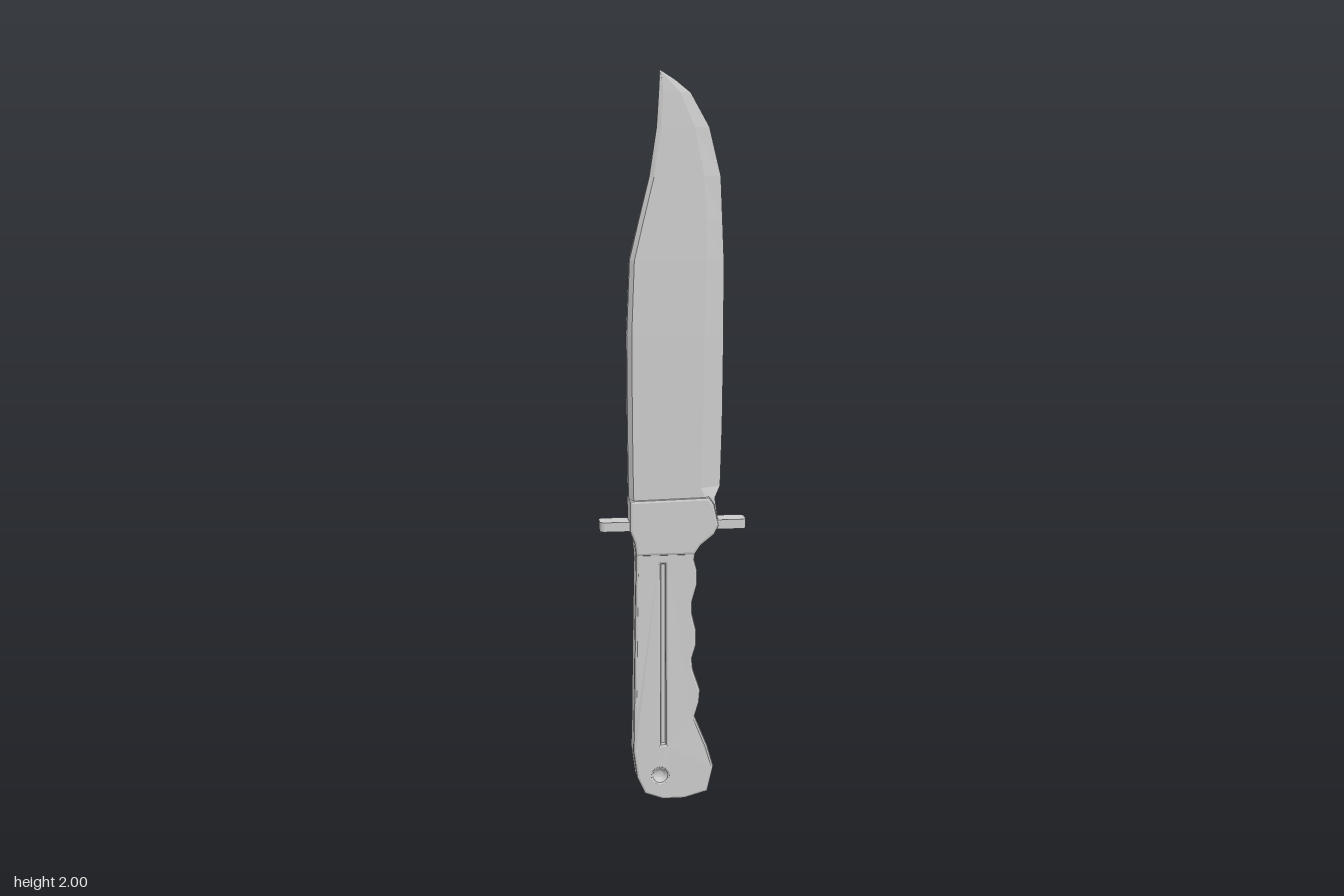
import * as THREE from 'three';

const material = new THREE.MeshStandardMaterial({ color: 0xcccccc, flatShading: true, side: THREE.DoubleSide });

function part(name, geometry) {
  const mesh = new THREE.Mesh(geometry, material);
  mesh.name = name;
  return mesh;
}

const shapeOf = (points) => new THREE.Shape(points.map(([x, y]) => new THREE.Vector2(x, y)));

// Extrudes an outline to +-half in z, with chamfered rims that stay inside the outline
function slab(shape, half, bevel) {
  const geometry = new THREE.ExtrudeGeometry(shape, {
    depth: 2 * (half - bevel), bevelEnabled: bevel > 0, bevelThickness: bevel,
    bevelSize: bevel, bevelOffset: -bevel, bevelSegments: 2, curveSegments: 8,
  });
  return geometry.translate(0, 0, -(half - bevel));
}

// Blade: eight-sided sections, each [y, spine x, bevel x, edge x, half thickness, half edge thickness]
function bladeGeometry() {
  const sections = [
    [0.78, -0.12, 0.09, 0.125, 0.030, 0.022],
    [0.85, -0.12, 0.09, 0.115, 0.030, 0.018],
    [0.88, -0.121, 0.075, 0.132, 0.030, 0],
    [1.05, -0.123, 0.08, 0.137, 0.030, 0],
    [1.30, -0.124, 0.085, 0.14, 0.029, 0],
    [1.50, -0.116, 0.09, 0.14, 0.025, 0],
    [1.60, -0.092, 0.09, 0.136, 0.021, 0],
    [1.72, -0.062, 0.085, 0.131, 0.016, 0],
    [1.85, -0.042, 0.06, 0.1, 0.011, 0],
    [1.94, -0.036, 0.022, 0.05, 0.007, 0],
    [1.975, -0.034, -0.01, 0.007, 0.004, 0],
    [2.00, -0.034, -0.033, -0.032, 0.001, 0],
  ];
  const positions = [], indices = [], n = 8;
  for (const [y, xs, xb, xe, t, e] of sections) {
    const shoulder = xs + Math.min(0.012, (xb - xs) * 0.3);
    const ring = [[xe, e], [xe, -e], [xb, -t], [shoulder, -t], [xs, -t / 2], [xs, t / 2], [shoulder, t], [xb, t]];
    for (const [x, z] of ring) positions.push(x, y, z);
  }
  for (let i = 0; i < sections.length - 1; i++) {
    for (let j = 0; j < n; j++) {
      const a = i * n + j, b = i * n + (j + 1) % n;
      indices.push(a, b, a + n, b, b + n, a + n);
    }
  }
  const last = (sections.length - 1) * n;
  for (let j = 1; j < n - 1; j++) {
    indices.push(0, j + 1, j, last, last + j, last + j + 1);
  }
  const geometry = new THREE.BufferGeometry();
  geometry.setAttribute('position', new THREE.Float32BufferAttribute(positions, 3));
  geometry.setIndex(indices);
  geometry.computeVertexNormals();
  return geometry;
}

// Handle: finger-grooved outline with a long slot and a round recess, swelling towards the butt
function handleGeometry() {
  const shape = shapeOf([
    [-0.105, 0.75], [-0.103, 0.68], [-0.107, 0.45], [-0.11, 0.22], [-0.112, 0.14], [-0.102, 0.065], [-0.08, 0.018],
    [-0.03, 0], [0.03, 0], [0.095, 0.018], [0.112, 0.09], [0.095, 0.15], [0.06, 0.235], [0.072, 0.275], [0.075, 0.31],
    [0.055, 0.37], [0.052, 0.4], [0.064, 0.44], [0.064, 0.48], [0.052, 0.53], [0.052, 0.56], [0.066, 0.61],
    [0.066, 0.65], [0.058, 0.68], [0.07, 0.75],
  ]);
  const slot = new THREE.Path();
  slot.moveTo(-0.034, 0.16).lineTo(-0.034, 0.67).lineTo(-0.022, 0.67).lineTo(-0.022, 0.16).closePath();
  const recess = new THREE.Path();
  recess.absarc(-0.037, 0.07, 0.019, 0, Math.PI * 2, true);
  shape.holes.push(slot, recess);
  const geometry = slab(shape, 0.03, 0.007);
  const p = geometry.attributes.position;
  for (let i = 0; i < p.count; i++) {
    const swell = THREE.MathUtils.clamp((0.24 - p.getY(i)) / 0.1, 0, 1);
    p.setZ(i, p.getZ(i) * (1 + 0.17 * swell));
  }
  geometry.computeVertexNormals();
  return geometry;
}

export function createModel() {
  const group = new THREE.Group();
  group.name = 'knife';
  group.add(part('blade', bladeGeometry()), part('handle', handleGeometry()));

  // Floor of the long handle slot
  const core = part('slotFloor', new THREE.BoxGeometry(0.03, 0.53, 0.036));
  core.position.set(-0.028, 0.415, 0);
  group.add(core);

  // Shallow round bowls on both faces of the butt
  const bowl = [[0, -0.016], [0.01, -0.014], [0.018, -0.007], [0.025, 0]].map(([r, h]) => new THREE.Vector2(r, h));
  for (const side of [1, -1]) {
    const mesh = part(side > 0 ? 'frontRecess' : 'backRecess', new THREE.LatheGeometry(bowl, 20));
    mesh.rotation.x = side * Math.PI / 2;
    mesh.position.set(-0.037, 0.07, side * 0.035);
    group.add(mesh);
  }

  // Collar between handle and blade
  const collar = shapeOf([
    [-0.12, 0.85], [-0.12, 0.765], [-0.107, 0.73], [-0.103, 0.695], [0.058, 0.695],
    [0.075, 0.72], [0.112, 0.75], [0.125, 0.775], [0.112, 0.835], [0.098, 0.855],
  ]);
  group.add(part('collar', slab(collar, 0.036, 0.008)));

  // Crossguard: flat bar with rounded corners
  const w = 0.2, d = 0.031, r = 0.014;
  const bar = new THREE.Shape();
  bar.absarc(w - r, d - r, r, 0, Math.PI / 2);
  bar.absarc(r - w, d - r, r, Math.PI / 2, Math.PI);
  bar.absarc(r - w, r - d, r, Math.PI, Math.PI * 1.5);
  bar.absarc(w - r, r - d, r, Math.PI * 1.5, Math.PI * 2);
  const guard = part('crossguard', slab(bar, 0.013, 0));
  guard.rotation.x = Math.PI / 2;
  guard.position.y = 0.778;
  group.add(guard);

  return group;
}
